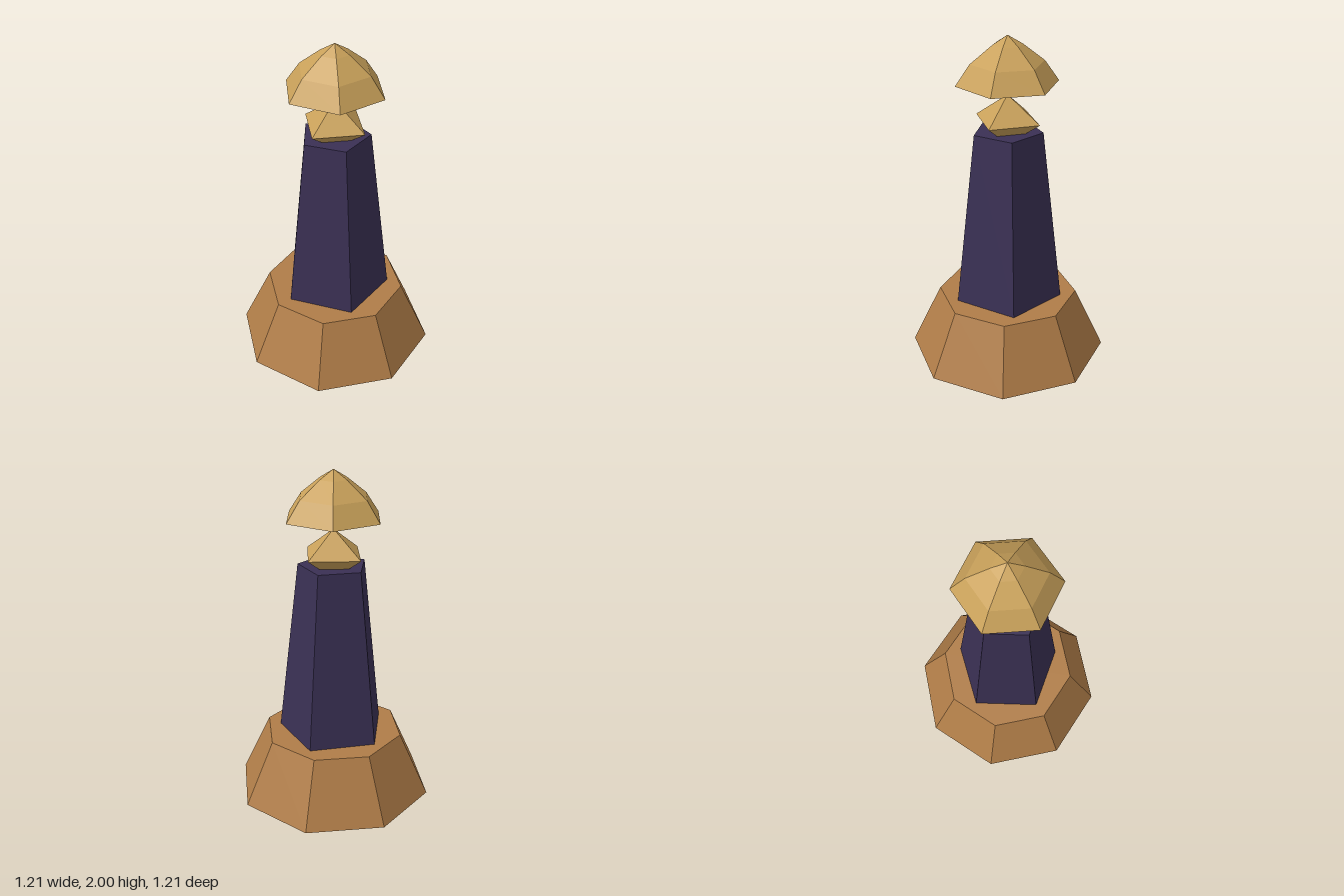
import * as THREE from 'three';

const material = (name, color) => {
  const m = new THREE.MeshStandardMaterial({ color, flatShading: true });
  m.name = name;
  return m;
};

export function createModel() {
  const group = new THREE.Group();
  const bronze = material('bronze', 0xb07d48);
  const indigo = material('indigo', 0x3a3054);
  const gold = material('gold', 0xc9a15a);

  // Closed faceted solid from [radius, height] points listed bottom to top
  const addPart = (name, sides, profile, mat, turn = 0) => {
    const points = profile.map(([r, y]) => new THREE.Vector2(r, y));
    const geometry = new THREE.LatheGeometry(points, sides, turn).toNonIndexed();
    geometry.computeVertexNormals();
    const mesh = new THREE.Mesh(geometry, mat);
    mesh.name = name;
    group.add(mesh);
  };

  // Eight-sided tapered plinth
  addPart('base', 8, [[0, 0], [0.605, 0], [0.425, 0.385], [0, 0.385]], bronze);

  // Five-sided tapered column
  addPart('column', 5, [[0, 0.385], [0.335, 0.385], [0.21, 1.445], [0, 1.445]], indigo);

  // Four-sided double pyramid, partly sunk into the column
  addPart('gem', 4, [[0, 1.36], [0.21, 1.51], [0, 1.66]], gold, Math.PI / 10);

  // Six-sided floating dome
  addPart('canopy', 6, [[0, 1.725], [0.3, 1.725], [0.215, 1.846], [0.088, 1.946], [0, 2]], gold);

  return group;
}
